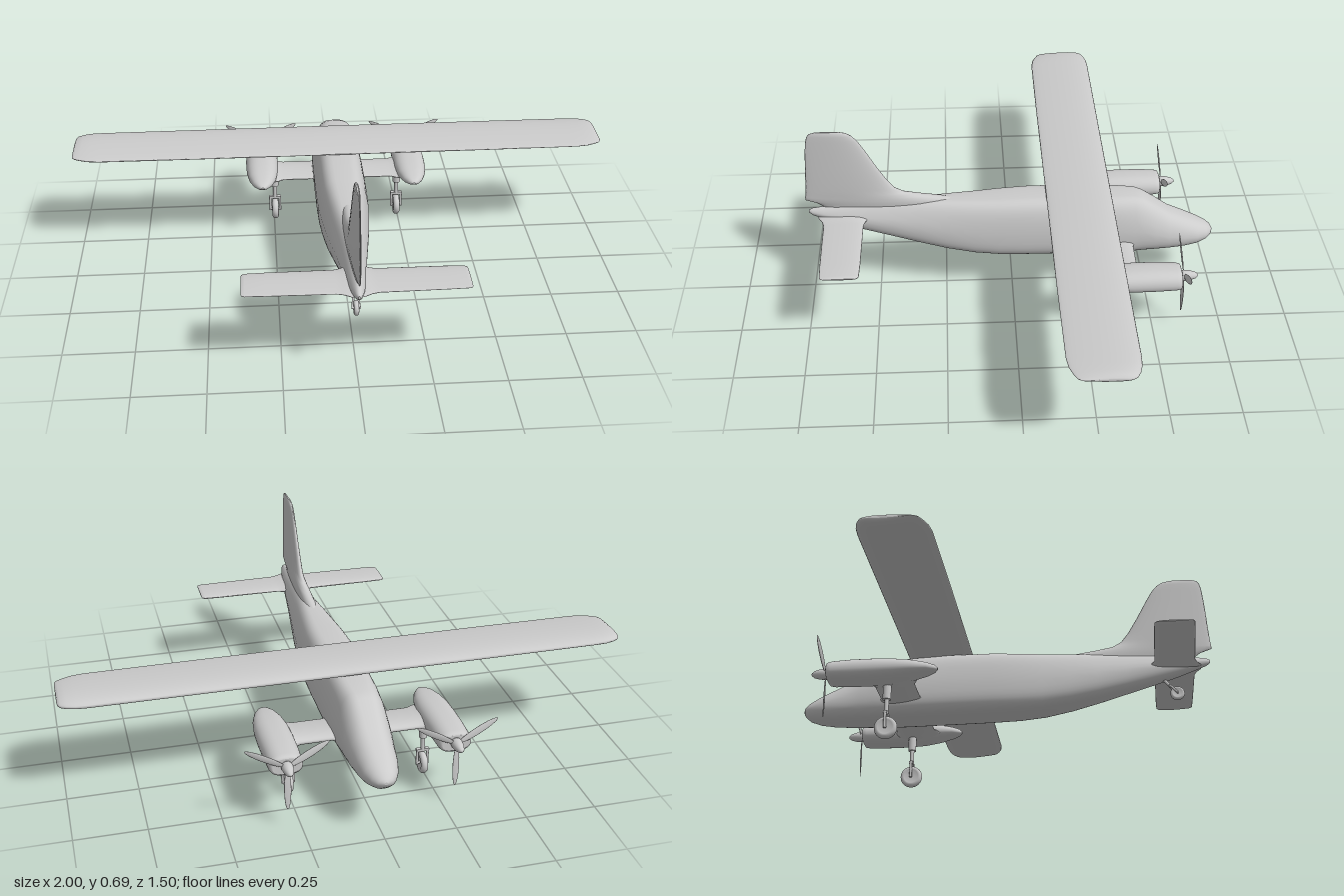
import * as THREE from 'three';
import { mergeGeometries } from 'three/addons/utils/BufferGeometryUtils.js';

const material = new THREE.MeshStandardMaterial({ color: 0xcccccc });

function add(parent, name, geometry) {
  const mesh = new THREE.Mesh(geometry, material);
  mesh.name = name;
  parent.add(mesh);
  return mesh;
}

// Skin closed rings of [x, y, z] points, smooth along the side, flat end caps.
function loft(rings) {
  const n = rings[0].length, parts = [];
  const flat = rings.flat();
  const centre = r => [0, 1, 2].map(k => r.reduce((s, p) => s + p[k], 0) / n);
  // Winding from the signed volume of the side walls about the middle.
  const m = centre(rings.map(centre).concat(Array(Math.max(0, n - rings.length)).fill(centre(rings[0]))));
  const v = p => new THREE.Vector3(p[0] - m[0], p[1] - m[1], p[2] - m[2]);
  const faces = [];
  for (let i = 0; i < rings.length - 1; i++) for (let j = 0; j < n; j++) {
    const a = i * n + j, b = i * n + (j + 1) % n;
    faces.push([a, b, b + n], [a, b + n, a + n]);
  }
  const last = (rings.length - 1) * n;
  const caps = [[], []];
  for (let j = 0; j < n; j++) {
    caps[0].push([n, (j + 1) % n, j]);
    caps[1].push([n, j, (j + 1) % n]);
  }
  const capPoints = [rings[0], rings[rings.length - 1]].map(r => [...r, centre(r)]);
  const volume = (pts, fs) => fs.reduce((s, [a, b, c]) => s + v(pts[a]).dot(v(pts[b]).cross(v(pts[c]))), 0);
  const flip = volume(flat, faces) + volume(capPoints[0], caps[0]) + volume(capPoints[1], caps[1]) < 0;
  const build = (pts, fs) => {
    const g = new THREE.BufferGeometry();
    g.setAttribute('position', new THREE.Float32BufferAttribute(pts.flat(), 3));
    g.setIndex(fs.flatMap(([a, b, c]) => flip ? [a, c, b] : [a, b, c]));
    g.computeVertexNormals();
    return g;
  };
  parts.push(build(flat, faces), build(capPoints[0], caps[0]), build(capPoints[1], caps[1]));
  return mergeGeometries(parts);
}

// Rounded-box ring; the upper half narrows by the given taper.
function bodyRing(z, bottom, top, halfWidth, power, taper = 0, cx = 0) {
  const half = (top - bottom) / 2, mid = (top + bottom) / 2;
  const pw = t => Math.sign(t) * Math.abs(t) ** (2 / power);
  return Array.from({ length: 40 }, (_, i) => {
    const a = i / 40 * Math.PI * 2, s = pw(Math.sin(a));
    return [cx + halfWidth * pw(Math.cos(a)) * (1 - taper * Math.max(0, s)), mid + half * s, z];
  });
}

// Aerofoil outline as [chord position, thickness offset].
function foil(lead, trail, half) {
  return Array.from({ length: 28 }, (_, i) => {
    const a = i / 28 * Math.PI * 2;
    return [lead + (trail - lead) * (1 - Math.cos(a)) / 2, half * Math.sin(a) * (1 + 0.4 * Math.cos(a)) * 0.93];
  });
}

// Wing from half-span stations [x, lead, trail, half thickness], mirrored in x.
function wing(stations, y) {
  const full = [...stations.map(([x, ...r]) => [-x, ...r]).reverse(), ...stations];
  return loft(full.map(([x, l, t, h]) => foil(l, t, h).map(([z, o]) => [x, y + o, z])));
}

function rod(a, b, r0, r1 = r0) {
  const from = new THREE.Vector3(...a), to = new THREE.Vector3(...b);
  const g = new THREE.CylinderGeometry(r1, r0, from.distanceTo(to), 14);
  const dir = to.clone().sub(from).normalize();
  g.applyQuaternion(new THREE.Quaternion().setFromUnitVectors(new THREE.Vector3(0, 1, 0), dir));
  return g.translate(...from.add(to).multiplyScalar(0.5).toArray());
}

// Round-shouldered wheel turning about x.
function wheel(r, w) {
  const p = [[0, -0.7], [0.55, -0.7], [0.65, -1], [0.85, -0.9], [0.97, -0.5], [1, 0],
    [0.97, 0.5], [0.85, 0.9], [0.65, 1], [0.55, 0.7], [0, 0.7]];
  return new THREE.LatheGeometry(p.map(([a, b]) => new THREE.Vector2(a * r, b * w)), 32).rotateZ(Math.PI / 2);
}

export function createModel() {
  const plane = new THREE.Group();
  plane.name = 'twinEngineAeroplane';

  // Fuselage: z, bottom, top, half width, squareness, upper taper
  add(plane, 'fuselage', loft([
    [-0.75, 0.214, 0.224, 0.006, 2, 0], [-0.743, 0.2, 0.236, 0.026, 2, 0], [-0.725, 0.185, 0.25, 0.043, 2.1, 0.05],
    [-0.69, 0.174, 0.268, 0.06, 2.3, 0.12], [-0.64, 0.168, 0.291, 0.072, 2.6, 0.2], [-0.58, 0.166, 0.318, 0.08, 3, 0.28],
    [-0.53, 0.165, 0.355, 0.086, 3.2, 0.32], [-0.48, 0.165, 0.388, 0.09, 3.5, 0.32], [-0.45, 0.165, 0.398, 0.092, 3.8, 0.3],
    [-0.38, 0.165, 0.402, 0.095, 4, 0.25], [-0.2, 0.166, 0.408, 0.096, 4, 0.2], [-0.05, 0.167, 0.407, 0.095, 4, 0.2],
    [0.05, 0.169, 0.402, 0.092, 4, 0.22], [0.14, 0.175, 0.398, 0.085, 3.8, 0.26], [0.24, 0.192, 0.396, 0.076, 3.5, 0.32],
    [0.34, 0.215, 0.393, 0.064, 3.1, 0.4], [0.44, 0.242, 0.389, 0.052, 2.8, 0.45], [0.54, 0.27, 0.384, 0.042, 2.5, 0.45],
    [0.62, 0.294, 0.376, 0.033, 2.3, 0.4], [0.69, 0.319, 0.368, 0.022, 2.1, 0.3], [0.73, 0.334, 0.362, 0.012, 2, 0],
    [0.743, 0.344, 0.356, 0.004, 2, 0],
  ].map(s => bodyRing(...s))));

  // High main wing with clipped, rounded tips
  add(plane, 'mainWing', wing([
    [0.1, -0.36, -0.122, 0.019], [0.55, -0.36, -0.122, 0.018], [0.9, -0.36, -0.124, 0.017], [0.94, -0.357, -0.13, 0.017],
    [0.97, -0.349, -0.142, 0.016], [0.99, -0.338, -0.153, 0.013], [0.998, -0.325, -0.165, 0.008], [1, -0.31, -0.18, 0.003],
  ], 0.416));

  // Tailplane, flared at the root
  add(plane, 'tailplane', wing([
    [0.02, 0.515, 0.71, 0.014], [0.045, 0.535, 0.695, 0.011], [0.07, 0.543, 0.688, 0.009], [0.3, 0.544, 0.685, 0.008],
    [0.365, 0.546, 0.683, 0.007], [0.375, 0.552, 0.678, 0.005], [0.378, 0.56, 0.67, 0.002],
  ], 0.331));

  // Fin with dorsal fillet: height, lead, trail, half thickness
  add(plane, 'fin', loft([
    [0.37, 0.15, 0.69, 0.025], [0.385, 0.17, 0.71, 0.025], [0.4, 0.24, 0.752, 0.023], [0.412, 0.32, 0.752, 0.021],
    [0.425, 0.39, 0.75, 0.02], [0.445, 0.425, 0.748, 0.019], [0.48, 0.452, 0.745, 0.018], [0.54, 0.487, 0.741, 0.015],
    [0.61, 0.524, 0.735, 0.012], [0.65, 0.547, 0.73, 0.01], [0.672, 0.566, 0.724, 0.009], [0.684, 0.585, 0.715, 0.007],
    [0.69, 0.61, 0.695, 0.003],
  ].map(([y, l, t, h]) => foil(l, t, h).map(([z, o]) => [o, y, z]))));

  // Stub wings carrying the engines
  add(plane, 'engineStubWing', wing([
    [0.07, -0.455, -0.29, 0.02], [0.1, -0.443, -0.3, 0.016], [0.21, -0.443, -0.3, 0.016],
    [0.23, -0.45, -0.29, 0.02], [0.26, -0.46, -0.28, 0.022],
  ], 0.22));

  for (const side of [1, -1]) {
    const label = side > 0 ? 'left' : 'right', ex = 0.293 * side, wx = 0.245 * side;

    // Engine: nacelle, spinner and three blades
    const engine = new THREE.Group();
    engine.name = label + 'Engine';
    plane.add(engine);
    add(engine, 'nacelle', loft([
      [-0.59, 0.205, 0.262, 0.048], [-0.587, 0.199, 0.268, 0.055], [-0.57, 0.196, 0.272, 0.059], [-0.5, 0.194, 0.275, 0.062],
      [-0.42, 0.194, 0.274, 0.063], [-0.35, 0.198, 0.27, 0.061], [-0.29, 0.207, 0.263, 0.053], [-0.24, 0.218, 0.254, 0.037],
      [-0.215, 0.225, 0.247, 0.02], [-0.205, 0.232, 0.239, 0.006],
    ].map(([z, b, t, w]) => bodyRing(z, b, t, w, 2.7, 0.15, ex))));
    const propeller = new THREE.Group();
    propeller.name = 'propeller';
    propeller.position.set(ex, 0.235, -0.6);
    engine.add(propeller);
    add(propeller, 'spinner', new THREE.LatheGeometry([[0, -0.015], [0.019, -0.015], [0.02, 0], [0.018, 0.02],
      [0.012, 0.04], [0.005, 0.049], [0, 0.05]].map(p => new THREE.Vector2(...p)), 24).rotateX(-Math.PI / 2));
    for (let i = 0; i < 3; i++) {
      const blade = add(propeller, 'blade', new THREE.SphereGeometry(1, 16, 16).scale(0.013, 0.078, 0.003)
        .rotateY(0.2).translate(0, -0.086, 0));
      blade.rotation.z = i * Math.PI * 2 / 3;
    }

    // Main gear: leg, forked yoke and wheel
    const gear = new THREE.Group();
    gear.name = label + 'MainGear';
    plane.add(gear);
    add(gear, 'upperLeg', rod([wx, 0.148, -0.39], [wx, 0.215, -0.39], 0.015));
    add(gear, 'lowerLeg', rod([wx, 0.095, -0.39], [wx, 0.15, -0.39], 0.008));
    add(gear, 'yoke', new THREE.BoxGeometry(0.046, 0.01, 0.014)).position.set(wx, 0.095, -0.39);
    for (const s of [-0.019, 0.019])
      add(gear, 'forkArm', rod([wx + s, 0.036, -0.39], [wx + s, 0.095, -0.39], 0.005));
    add(gear, 'axle', rod([wx - 0.022, 0.043, -0.39], [wx + 0.022, 0.043, -0.39], 0.005));
    add(gear, 'wheel', wheel(0.041, 0.013)).position.set(wx, 0.043, -0.39);
  }

  // Tail wheel on a raked fork
  const tailGear = new THREE.Group();
  tailGear.name = 'tailGear';
  plane.add(tailGear);
  add(tailGear, 'leg', rod([0, 0.257, 0.597], [0, 0.295, 0.565], 0.006));
  for (const s of [-0.012, 0.012])
    add(tailGear, 'forkArm', rod([s, 0.23, 0.62], [s * 0.6, 0.262, 0.593], 0.004));
  add(tailGear, 'axle', rod([-0.015, 0.23, 0.62], [0.015, 0.23, 0.62], 0.004));
  add(tailGear, 'wheel', wheel(0.026, 0.009)).position.set(0, 0.23, 0.62);

  return plane;
}
